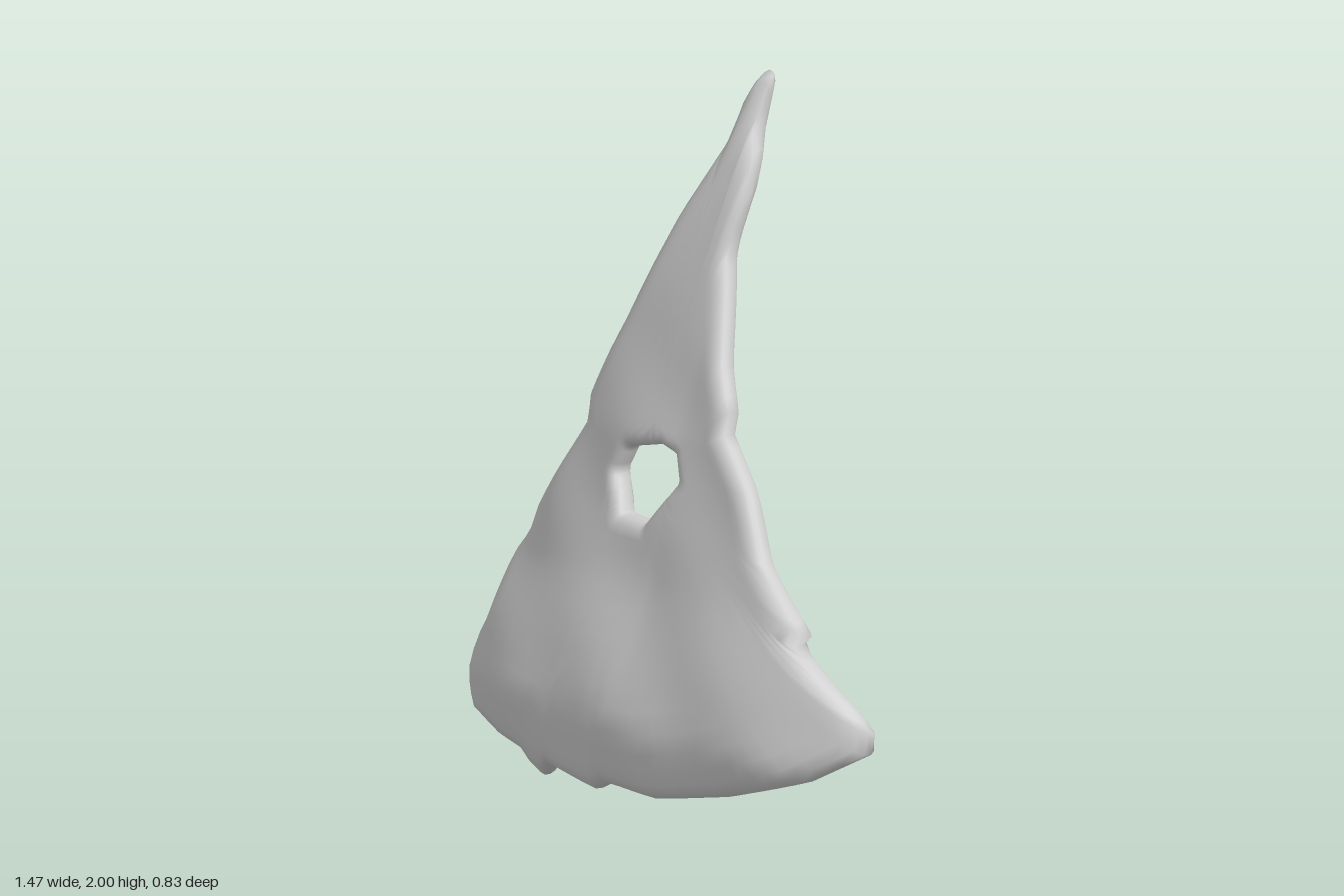
import * as THREE from 'three';

// Counter-clockwise outline of the slab and of its hole, as x, y
const OUTLINE = [
  [-0.07, 2], [-0.1, 1.97], [-0.13, 1.9], [-0.135, 1.81], [-0.23, 1.6], [-0.34, 1.3], [-0.435, 1.08],
  [-0.42, 1.0], [-0.58, 0.73], [-0.595, 0.66], [-0.65, 0.59], [-0.69, 0.4], [-0.73, 0.33], [-0.735, 0.18],
  [-0.7, 0.11], [-0.55, 0.07], [-0.42, 0.06], [-0.35, 0.0], [-0.3, 0.055], [-0.1, 0.03], [-0.05, 0.06],
  [0.14, 0.065], [0.38, 0.12], [0.6, 0.2], [0.73, 0.28], [0.73, 0.33], [0.68, 0.39], [0.51, 0.525],
  [0.53, 0.55], [0.36, 0.71], [0.26, 0.88], [0.14, 1.02], [0.14, 1.08], [0.08, 1.2], [-0.02, 1.5],
  [-0.01, 1.66], [-0.025, 1.78], [-0.05, 1.85], [-0.05, 1.99],
];
const HOLE = [[-0.23, 0.88], [-0.17, 0.77], [-0.08, 0.76], [0.01, 0.88], [-0.02, 0.95], [-0.08, 0.97], [-0.2, 0.95]];
const CENTRE = [-0.11, 0.87];

// Leaning profile: height, depth of the middle
const LEAN = [[0, 0.32], [0.1, 0.33], [0.25, 0.335], [0.4, 0.275], [0.6, 0.185], [0.8, 0.115], [1, 0.05],
  [1.2, -0.03], [1.4, -0.115], [1.6, -0.2], [1.9, -0.35], [2, -0.385]];

function midZ(x, y) {
  let k = 0;
  while (k < LEAN.length - 2 && y > LEAN[k + 1][0]) k++;
  const [y0, z0] = LEAN[k], [y1, z1] = LEAN[k + 1];
  const z = THREE.MathUtils.lerp(z0, z1, (y - y0) / (y1 - y0));
  const fade = THREE.MathUtils.smoothstep(1.5 - y, 0, 0.4);
  const sweep = x < 0 ? 0.25 * x * x : 0.45 * x ** 4 - 0.08 * x;
  const curl = x < 0 ? 0.2 * x * x + 0.26 * x ** 3 : 0.16 * x * x - 0.12 * x ** 3;
  const skirt = curl * THREE.MathUtils.smoothstep(0.5 - y, 0, 0.3);
  const lumps = 0.01 * Math.sin(11 * x + 3 * y) * Math.sin(9 * y + 2 * x);
  return z - (sweep + skirt - lumps) * fade;
}

// Shortest distance to a closed polygon
function edgeDistance(poly, x, y) {
  let best = Infinity;
  poly.forEach(([ax, ay], i) => {
    const [bx, by] = poly[(i + 1) % poly.length];
    const dx = bx - ax, dy = by - ay;
    const t = THREE.MathUtils.clamp(((x - ax) * dx + (y - ay) * dy) / (dx * dx + dy * dy), 0, 1);
    best = Math.min(best, Math.hypot(x - ax - t * dx, y - ay - t * dy));
  });
  return best;
}

// Point where the ray from the centre towards (x, y) meets the hole rim
function holePoint(x, y) {
  const [cx, cy] = CENTRE, rx = x - cx, ry = y - cy;
  for (let i = 0; i < HOLE.length; i++) {
    const [ax, ay] = HOLE[i], [bx, by] = HOLE[(i + 1) % HOLE.length];
    const ex = bx - ax, ey = by - ay, det = rx * ey - ry * ex;
    const s = ((ax - cx) * ey - (ay - cy) * ex) / det;
    const u = ((ax - cx) * ry - (ay - cy) * rx) / det;
    if (s > 0 && u >= -1e-6 && u <= 1 + 1e-6) return [cx + s * rx, cy + s * ry];
  }
  return CENTRE;
}

// Thicker at the skirt, thinner at its two corners, rounded at every edge
function halfThickness(x, y) {
  const skirt = 0.047 + 0.018 * THREE.MathUtils.smoothstep(0.7 - y, 0, 0.5);
  const full = skirt * (1 - 0.3 * THREE.MathUtils.smoothstep(Math.abs(x), 0.45, 0.72));
  const round = (d, w) => Math.sqrt(1 - (1 - Math.min(1, d / w)) ** 2);
  return full * round(edgeDistance(OUTLINE, x, y), 0.045) * round(edgeDistance(HOLE, x, y), 0.03);
}

// Grid joining the hole to the outline, front and back, closed into a ring
function slabGeometry() {
  const rim = [];
  OUTLINE.forEach(([ax, ay], i) => {
    const [bx, by] = OUTLINE[(i + 1) % OUTLINE.length];
    const n = Math.max(1, Math.round(Math.hypot(bx - ax, by - ay) / 0.05));
    for (let k = 0; k < n; k++) rim.push([ax + (bx - ax) * k / n, ay + (by - ay) * k / n]);
  });
  const STEPS = 18, RING = STEPS * 2, pos = [], index = [];
  rim.forEach(([x, y], i) => {
    const [hx, hy] = holePoint(x, y);
    for (let j = 0; j < RING; j++) {
      const t = (1 - Math.cos(Math.PI * j / STEPS)) / 2;
      const px = hx + (x - hx) * t, py = hy + (y - hy) * t;
      const side = j <= STEPS ? 1 : -1;
      const h = j % STEPS === 0 ? 0 : halfThickness(px, py);
      pos.push(px, py, midZ(px, py) + side * h);
      const next = (i + 1) % rim.length, jn = (j + 1) % RING;
      const a = i * RING + j, b = i * RING + jn, c = next * RING + jn, d = next * RING + j;
      index.push(a, b, d, b, c, d);
    }
  });
  const g = new THREE.BufferGeometry();
  g.setAttribute('position', new THREE.Float32BufferAttribute(pos, 3));
  g.setIndex(index);
  g.computeVertexNormals();
  return g;
}

// Curved sliver with tapered ends
function sliverGeometry(points, radius) {
  const curve = new THREE.CatmullRomCurve3(points.map((p) => new THREE.Vector3(...p)));
  const SEG = 16, SIDES = 8, g = new THREE.TubeGeometry(curve, SEG, radius, SIDES);
  const p = g.attributes.position, v = new THREE.Vector3();
  for (let i = 0; i < p.count; i++) {
    const t = Math.floor(i / (SIDES + 1)) / SEG, c = curve.getPointAt(t);
    const taper = 0.05 + 0.95 * Math.sqrt(Math.max(0, Math.sin(Math.PI * t)));
    v.fromBufferAttribute(p, i).sub(c).multiplyScalar(taper);
    p.setXYZ(i, c.x + v.x, c.y + v.y, c.z + v.z);
  }
  g.computeVertexNormals();
  return g;
}

export function createModel() {
  const model = new THREE.Group();
  const material = new THREE.MeshStandardMaterial({ color: 0xcccccc, side: THREE.DoubleSide });
  const add = (name, geometry) => {
    const mesh = new THREE.Mesh(geometry, material);
    mesh.name = name;
    model.add(mesh);
  };
  add('piercedSlab', slabGeometry());
  // Two raised slivers on the back
  add('leftBackSliver', sliverGeometry([[0.36, 0.41, 0.18], [0.2, 0.335, 0.155], [0.04, 0.32, 0.19]], 0.028));
  add('rightBackSliver', sliverGeometry([[-0.15, 0.3, 0.19], [-0.3, 0.295, 0.13], [-0.42, 0.32, 0.075], [-0.49, 0.38, 0.055]], 0.03));
  return model;
}
